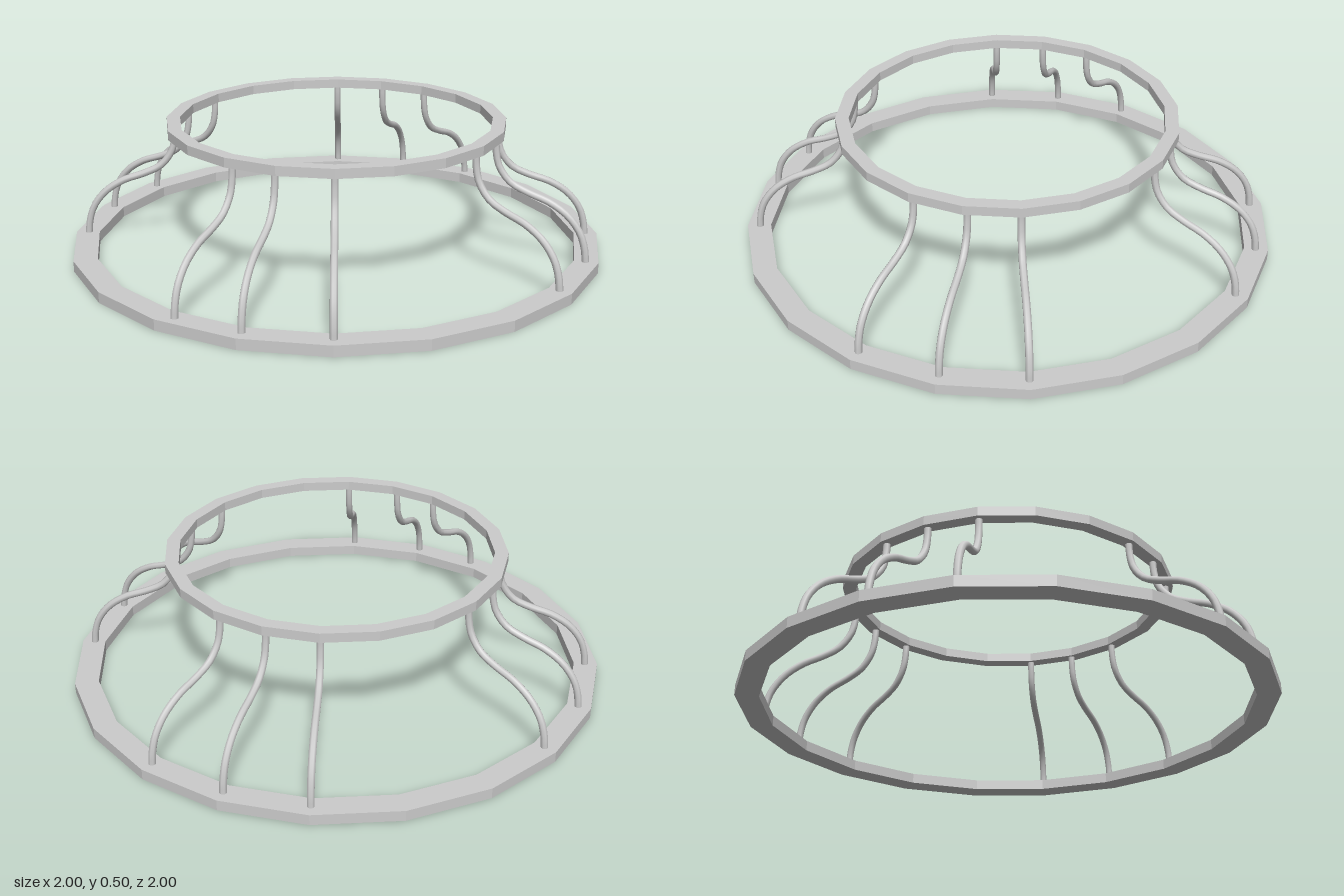
import * as THREE from 'three';

const SIDES = 20;
const metal = new THREE.MeshStandardMaterial({ color: 0xcccccc });
const flatMetal = new THREE.MeshStandardMaterial({ color: 0xcccccc, flatShading: true });

// Flat twenty-sided ring with a rectangular section
function ring(name, inner, outer, bottom, top) {
  const profile = [[inner, bottom], [outer, bottom], [outer, top], [inner, top], [inner, bottom]]
    .map(([r, y]) => new THREE.Vector2(r, y));
  const mesh = new THREE.Mesh(new THREE.LatheGeometry(profile, SIDES), flatMetal);
  mesh.name = name;
  return mesh;
}

// S-shaped strut profile: radius, height
const STRUT = [[0.605, 0.475], [0.608, 0.42], [0.622, 0.365], [0.665, 0.31], [0.73, 0.278],
  [0.81, 0.25], [0.88, 0.205], [0.927, 0.145], [0.947, 0.085], [0.953, 0.03]];

// Strut swept from one angle at the top ring to another at the base ring
function strut(topAngle, baseAngle) {
  const points = STRUT.map(([r, y]) => {
    const a = THREE.MathUtils.lerp(topAngle, baseAngle, (r - 0.605) / 0.348);
    return new THREE.Vector3(r * Math.sin(a), y, r * Math.cos(a));
  });
  const curve = new THREE.CatmullRomCurve3(points);
  const mesh = new THREE.Mesh(new THREE.TubeGeometry(curve, 24, 0.0135, 8), metal);
  mesh.name = 'strut';
  return mesh;
}

export function createModel() {
  const model = new THREE.Group();
  model.name = 'ringStand';
  model.add(ring('baseRing', 0.912, 1, 0, 0.04));
  model.add(ring('topRing', 0.585, 0.635, 0.465, 0.5));

  // Four clusters of three struts; a few lean slightly sideways
  const lean = { '0,-1': [0.9, 2.8], '0,0': [-1.3, 0], '1,0': [0.9, 0] };
  const struts = new THREE.Group();
  struts.name = 'struts';
  for (let side = 0; side < 4; side++) {
    for (let i = -1; i <= 1; i++) {
      const angle = side * 90 + i * 18;
      const [top, base] = lean[`${side},${i}`] ?? [0, 0];
      struts.add(strut(THREE.MathUtils.degToRad(angle + top), THREE.MathUtils.degToRad(angle + base)));
    }
  }
  model.add(struts);
  return model;
}
